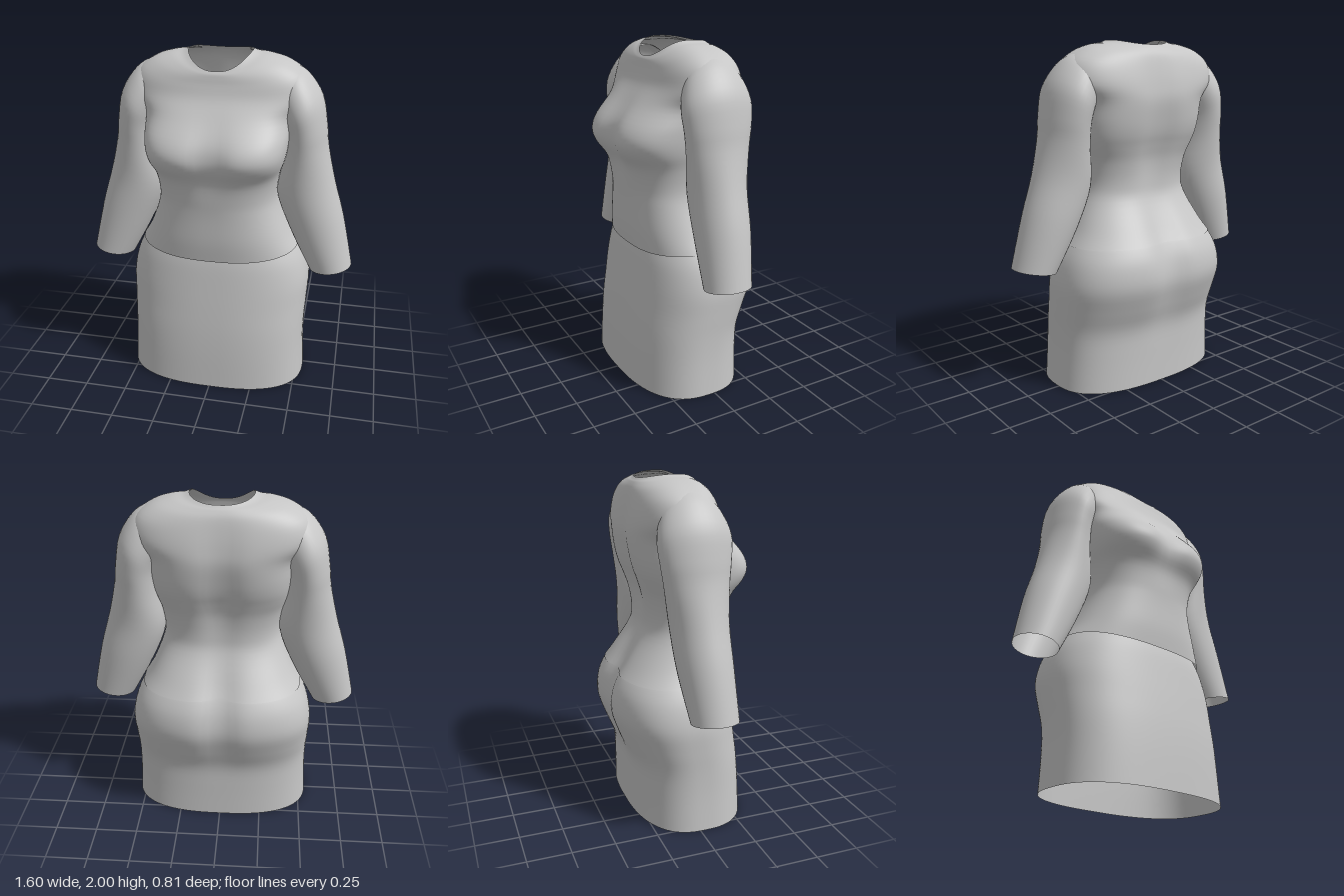
import * as THREE from 'three';

const fabric = new THREE.MeshStandardMaterial({ color: 0xc6c6c6, side: THREE.DoubleSide });
fabric.name = 'grey fabric';

// Smoothly interpolate rows of section values
function smoothRows(rows, steps) {
  const out = [];
  for (let i = 0; i < rows.length - 1; i++) {
    const a = rows[Math.max(i - 1, 0)], b = rows[i], c = rows[i + 1], d = rows[Math.min(i + 2, rows.length - 1)];
    for (let k = 0; k < steps; k++) {
      const t = k / steps;
      out.push(b.map((v, n) => v + 0.5 * t * (c[n] - a[n] + t * (2 * a[n] - 5 * v + 4 * c[n] - d[n]
        + t * (3 * (v - c[n]) + d[n] - a[n])))));
    }
  }
  out.push(rows[rows.length - 1]);
  return out;
}

// Skin closed rings, from bottom to top; point(row, angle) gives [x, y, z]
function loft(name, rows, sides, point) {
  const pos = [], index = [];
  rows.forEach((row, i) => {
    for (let j = 0; j < sides; j++) {
      pos.push(...point(row, (j / sides) * Math.PI * 2));
      if (i === rows.length - 1) continue;
      const a = i * sides + j, b = i * sides + (j + 1) % sides;
      index.push(a, b, b + sides, a, b + sides, a + sides);
    }
  });
  const geo = new THREE.BufferGeometry();
  geo.setAttribute('position', new THREE.Float32BufferAttribute(pos, 3));
  geo.setIndex(index);
  geo.computeVertexNormals();
  const mesh = new THREE.Mesh(geo, fabric);
  mesh.name = name;
  return mesh;
}

const power = (v, e) => Math.sign(v) * Math.abs(v) ** e;

// Body section: yFront, ySide, yBack, half width, zFront, zBack, front groove, back groove, roundness
function bodyPoint([yF, yS, yB, w, zF, zB, gF, gB, e], angle) {
  const s = Math.sin(angle), c = Math.cos(angle);
  const mid = (zF + zB) * 0.4;
  const x = w * power(s, e);
  const front = c > 0;
  const groove = (front ? -gF : gB) * Math.exp(-((x / 0.1) ** 2));
  const z = mid + (front ? zF - mid : mid - zB) * power(c, e) + groove;
  return [x, yS + ((front ? yF : yB) - yS) * c * c, z];
}

const level = (y, ...rest) => [y, y, y, ...rest];

const skirtRows = [
  level(0, 0.545, 0.375, -0.30, 0, 0, 0.77),
  level(0.2, 0.535, 0.365, -0.30, 0, 0, 0.77),
  level(0.36, 0.535, 0.352, -0.31, 0, 0.005, 0.78),
  level(0.5, 0.542, 0.335, -0.365, 0, 0.02, 0.8),
  level(0.64, 0.545, 0.315, -0.413, 0, 0.035, 0.8),
  level(0.77, 0.515, 0.295, -0.405, 0, 0.045, 0.8),
  [0.84, 0.87, 0.87, 0.462, 0.28, -0.36, 0, 0.045, 0.8],
  [0.88, 0.91, 0.91, 0.425, 0.27, -0.32, 0, 0.04, 0.8],
];

const bodiceRows = [
  [0.83, 0.86, 0.865, 0.475, 0.295, -0.367, 0, 0.045, 0.8],
  level(0.95, 0.422, 0.307, -0.31, 0, 0.04, 0.8),
  level(1.1, 0.36, 0.31, -0.215, 0, 0.02, 0.8),
  level(1.2, 0.342, 0.317, -0.20, 0, 0.02, 0.8),
  level(1.32, 0.358, 0.34, -0.215, 0.01, 0.03, 0.76),
  level(1.41, 0.385, 0.397, -0.24, 0.03, 0.03, 0.67),
  level(1.48, 0.40, 0.413, -0.265, 0.04, 0.03, 0.64),
  level(1.56, 0.41, 0.38, -0.285, 0.03, 0.03, 0.66),
  level(1.67, 0.422, 0.285, -0.30, 0.01, 0.025, 0.72),
  [1.76, 1.765, 1.76, 0.495, 0.215, -0.29, 0, 0.02, 0.73],
  [1.83, 1.875, 1.85, 0.475, 0.188, -0.268, 0, 0.012, 0.72],
  [1.87, 1.945, 1.915, 0.385, 0.178, -0.245, 0, 0.005, 0.74],
  [1.89, 1.978, 1.95, 0.285, 0.173, -0.22, 0, 0, 0.8],
  [1.9, 1.987, 1.963, 0.215, 0.168, -0.207, 0, 0, 0.84],
  [1.91, 2.0, 1.975, 0.178, 0.16, -0.195, 0, 0, 0.84],
];

// Sleeve section: outer x, y, inner x, y, zFront, zBack
const sleeveRows = [
  [0.80, 0.76, 0.55, 0.72, 0.15, -0.115],
  [0.735, 1.05, 0.42, 0.97, 0.15, -0.155],
  [0.67, 1.27, 0.335, 1.2, 0.15, -0.172],
  [0.622, 1.47, 0.355, 1.42, 0.16, -0.20],
  [0.605, 1.6, 0.36, 1.54, 0.172, -0.22],
  [0.572, 1.76, 0.35, 1.60, 0.18, -0.23],
  [0.49, 1.88, 0.33, 1.64, 0.155, -0.21],
  [0.41, 1.928, 0.32, 1.68, 0.12, -0.18],
  [0.34, 1.93, 0.31, 1.72, 0.09, -0.15],
];

function sleevePoint(side) {
  return ([ox, oy, ix, iy, zF, zB], angle) => {
    const s = Math.sin(angle * side), c = Math.cos(angle);
    return [side * ((ox + ix) / 2 + (ox - ix) / 2 * s), (oy + iy) / 2 + (oy - iy) / 2 * s,
      (zF + zB) / 2 + (zF - zB) / 2 * c];
  };
}

export function createModel() {
  const dress = new THREE.Group();
  dress.name = 'dress';
  // The skirt's top tucks in under the bodice hem
  dress.add(loft('skirt', smoothRows(skirtRows, 4), 96, bodyPoint));
  dress.add(loft('bodice', smoothRows(bodiceRows, 4), 96, bodyPoint));
  // Mirrored sleeves, with shoulder caps running into the bodice
  for (const side of [1, -1]) {
    dress.add(loft(side > 0 ? 'leftSleeve' : 'rightSleeve', smoothRows(sleeveRows, 4), 40, sleevePoint(side)));
  }
  return dress;
}
